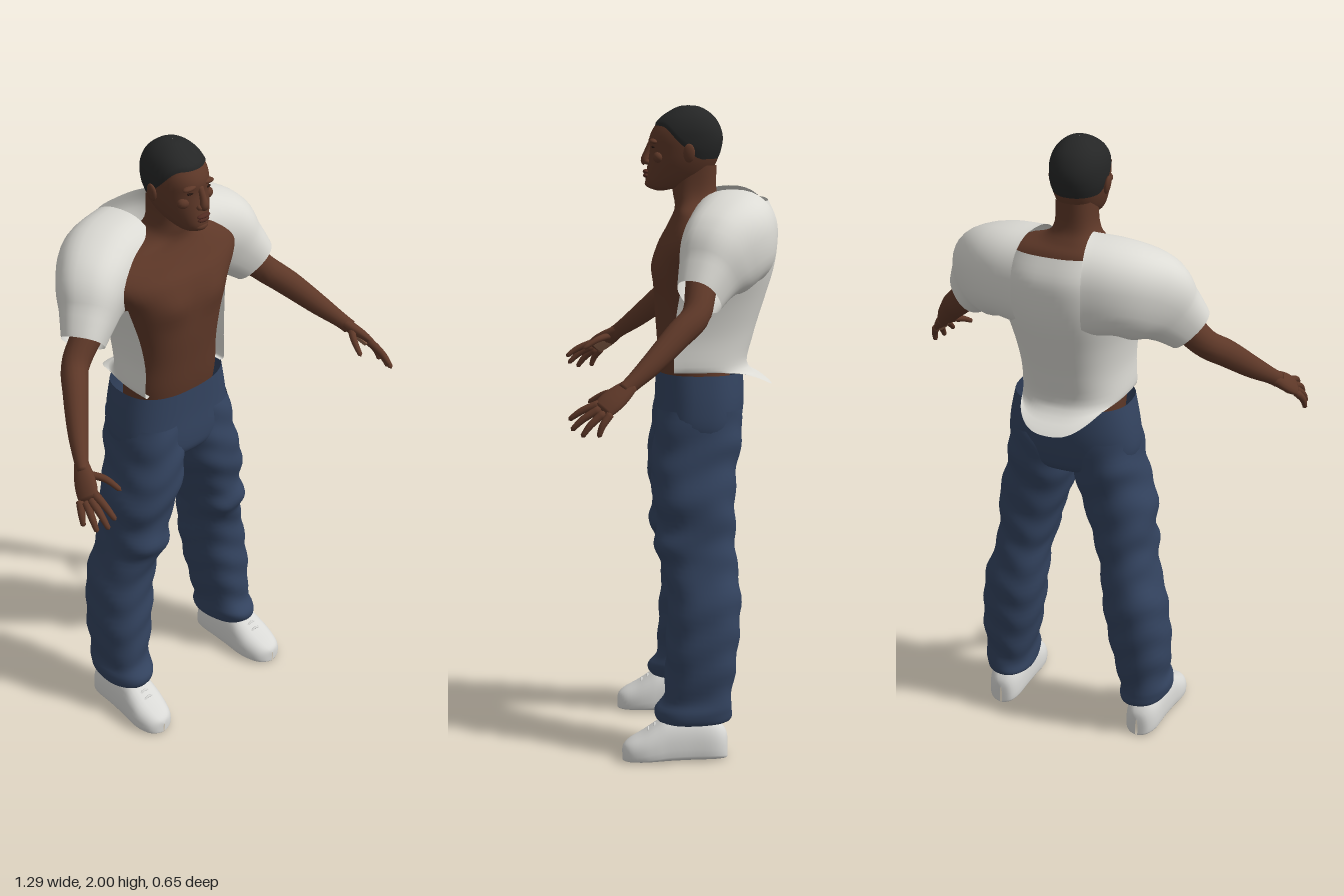
import * as THREE from 'three';

const mat = (name, color, side = THREE.FrontSide) => {
  const m = new THREE.MeshStandardMaterial({ color, side });
  m.name = name;
  return m;
};
const { sin, cos, abs, sign, pow, PI, exp, min, max, floor } = Math;
const spow = (v, p) => sign(v) * pow(abs(v), p);

// Smooth interpolation through rows of numbers, t from 0 to 1
function at(rows, t) {
  const s = t * (rows.length - 1), i = min(floor(s), rows.length - 2), f = s - i;
  const r = k => rows[max(0, min(rows.length - 1, k))];
  return rows[0].map((_, c) => {
    const a = r(i - 1)[c], b = r(i)[c], d = r(i + 1)[c], e = r(i + 2)[c];
    return b + 0.5 * f * (d - a + f * (2 * a - 5 * b + 4 * d - e + f * (3 * (b - d) + e - a)));
  });
}

// Surface from fn(u, v) -> [x, y, z]; closed joins u = 1 to u = 0; faces are turned outward
function grid(nu, nv, fn, closed = true) {
  const pos = [], idx = [], w = closed ? nu : nu + 1;
  for (let j = 0; j <= nv; j++) for (let i = 0; i < w; i++) pos.push(...fn(i / nu, j / nv));
  for (let j = 0; j < nv; j++) for (let i = 0; i < nu; i++) {
    const a = j * w + i, b = j * w + (i + 1) % w, c = a + w, d = b + w;
    idx.push(a, b, d, a, d, c);
  }
  const g = new THREE.BufferGeometry();
  g.setAttribute('position', new THREE.Float32BufferAttribute(pos, 3));
  g.setIndex(idx);
  g.computeBoundingBox();
  const o = g.boundingBox.getCenter(new THREE.Vector3());
  const P = k => new THREE.Vector3(...pos.slice(k * 3, k * 3 + 3)).sub(o);
  let vol = 0;
  for (let k = 0; k < idx.length; k += 3) vol += P(idx[k]).dot(P(idx[k + 1]).cross(P(idx[k + 2])));
  if (vol < 0) flip(g);
  g.computeVertexNormals();
  return g;
}
function flip(g) {
  const x = g.index.array;
  for (let k = 0; k < x.length; k += 3) [x[k], x[k + 1]] = [x[k + 1], x[k]];
}

// Point on a horizontal section row [y, left edge, right edge, front z, back z]
function section([y, x0, x1, zf, zb], a, e = 2.3) {
  return [(x0 + x1) / 2 + (x1 - x0) / 2 * spow(sin(a), 2 / e), y,
    (zf + zb) / 2 + (zf - zb) / 2 * spow(cos(a), 2 / e)];
}
const sym = rows => rows.map(([y, w, f, b]) => [y, -w, w, f, b]);

// Tube along rows [x, y, z, radius along 'wide', radius across it]
function sweep(rows, wide, { nu = 16, nv = 16, e = 2, cap = true } = {}) {
  const W = new THREE.Vector3(...wide);
  return grid(nu, nv, (u, v) => {
    const c = at(rows, v), p = at(rows, max(0, v - 0.01)), q = at(rows, min(1, v + 0.01));
    const t = new THREE.Vector3(q[0] - p[0], q[1] - p[1], q[2] - p[2]).normalize();
    const s = W.clone().addScaledVector(t, -W.dot(t)).normalize(), n = t.clone().cross(s);
    const k = cap && (v === 0 || v === 1) ? 0 : 1, a = u * 2 * PI;
    const h = k * c[3] * spow(cos(a), 2 / e), d = k * c[4] * spow(sin(a), 2 / e);
    return [0, 1, 2].map(i => c[i] + s.getComponent(i) * h + n.getComponent(i) * d);
  });
}

export function createModel() {
  const root = new THREE.Group();
  root.name = 'standingMan';
  const skin = mat('skin', 0x5e3828), palmSkin = mat('palm skin', 0x94684f), lip = mat('lips', 0x522c22),
    dark = mat('eyes', 0x25150f), hair = mat('hair', 0x252626),
    shirt = mat('shirt cloth', 0xdcdbd5, THREE.DoubleSide), denim = mat('denim', 0x33435f, THREE.DoubleSide),
    shoe = mat('shoe leather', 0xd9d9d6);
  const add = (name, g, m) => {
    const mesh = new THREE.Mesh(g, m);
    mesh.name = name;
    root.add(mesh);
  };
  const both = (name, g, m) => {
    const r = g.clone().scale(-1, 1, 1);
    flip(r);
    r.computeVertexNormals();
    add(name + 'Left', g, m);
    add(name + 'Right', r, m);
  };
  const ball = (x, y, z, a, b, c, rz = 0) =>
    new THREE.SphereGeometry(1, 16, 10).scale(a, b, c).rotateZ(rz).translate(x, y, z);

  // Bare torso and neck, with soft chest muscles
  const torso = sym([[1.1, 0.15, 0.02, -0.19], [1.2, 0.155, 0.037, -0.18], [1.3, 0.15, 0.045, -0.175],
    [1.4, 0.165, 0.052, -0.185], [1.5, 0.2, 0.052, -0.2], [1.57, 0.25, 0.04, -0.21], [1.62, 0.255, 0.015, -0.2],
    [1.67, 0.18, -0.008, -0.185], [1.7, 0.095, -0.012, -0.16], [1.74, 0.064, -0.005, -0.14], [1.82, 0.06, 0, -0.14]]);
  add('torso', grid(48, 44, (u, v) => {
    const p = section(at(torso, v), u * 2 * PI, 2.4);
    if (cos(u * 2 * PI) > 0) p[2] += 0.012 * exp(-pow((abs(p[0]) - 0.085) / 0.06, 2) - pow((p[1] - 1.5) / 0.05, 2));
    return p;
  }), skin);

  // Head, split at the hairline
  const head = sym([[1.742, 0.012, 0.045, 0.02], [1.75, 0.036, 0.068, -0.02], [1.765, 0.05, 0.078, -0.07],
    [1.79, 0.064, 0.077, -0.115], [1.83, 0.077, 0.071, -0.14], [1.87, 0.083, 0.066, -0.152],
    [1.9, 0.084, 0.067, -0.156], [1.93, 0.081, 0.055, -0.15], [1.96, 0.069, 0.032, -0.134],
    [1.983, 0.048, 0, -0.108], [1.996, 0.024, -0.028, -0.08], [1.998, 0.001, -0.053, -0.055]]);
  const hairline = a => {
    const y = 1.84 + 0.1 * THREE.MathUtils.smoothstep(cos(a), -0.5, 0.85);
    let lo = 0, hi = 1;
    for (let k = 0; k < 20; k++) at(head, (lo + hi) / 2)[0] < y ? lo = (lo + hi) / 2 : hi = (lo + hi) / 2;
    return lo;
  };
  add('face', grid(40, 24, (u, v) => section(at(head, v * hairline(u * 2 * PI)), u * 2 * PI, 2.15)), skin);
  add('hair', grid(40, 18, (u, v) => {
    const a = u * 2 * PI, h = hairline(a), [x, y, z] = section(at(head, h + v * (1 - h)), a, 2.15);
    const k = v === 0 ? 1 : 1.03;
    return [x * k, y + (v === 0 ? 0 : 0.002), -0.05 + (z + 0.05) * k];
  }), hair);

  // Facial features
  add('noseBridge', sweep([[0, 1.893, 0.06, 0.01, 0.008], [0, 1.86, 0.073, 0.01, 0.01],
    [0, 1.835, 0.08, 0.014, 0.013], [0, 1.824, 0.076, 0.012, 0.01]], [1, 0, 0]), skin);
  add('upperLip', ball(0, 1.8, 0.077, 0.025, 0.007, 0.01), lip);
  add('lowerLip', ball(0, 1.788, 0.076, 0.022, 0.008, 0.01), lip);
  add('chin', ball(0, 1.764, 0.064, 0.026, 0.014, 0.017), skin);
  both('nostril', ball(0.013, 1.829, 0.073, 0.009, 0.008, 0.01), skin);
  both('brow', ball(0.034, 1.894, 0.054, 0.026, 0.008, 0.014, -0.1), skin);
  both('eye', ball(0.033, 1.876, 0.056, 0.014, 0.004, 0.006), dark);
  both('cheek', ball(0.046, 1.845, 0.04, 0.022, 0.018, 0.018), skin);
  both('ear', ball(0.087, 1.86, -0.05, 0.009, 0.029, 0.018, -0.15), skin);

  // Arms, hands and fingers
  both('arm', sweep([[0.22, 1.58, -0.09, 0.06, 0.055], [0.33, 1.475, -0.07, 0.05, 0.047],
    [0.4, 1.405, -0.05, 0.044, 0.042], [0.45, 1.355, 0.005, 0.042, 0.038], [0.51, 1.285, 0.08, 0.034, 0.031],
    [0.553, 1.235, 0.14, 0.025, 0.022], [0.572, 1.21, 0.17, 0.025, 0.018]], [0, 1, 0], { nv: 26 }), skin);
  const across = [-0.5, 0.55, 0.6];
  both('hand', sweep([[0.555, 1.233, 0.14, 0.02, 0.018], [0.575, 1.207, 0.175, 0.032, 0.019],
    [0.592, 1.185, 0.205, 0.036, 0.017], [0.606, 1.165, 0.23, 0.032, 0.012]], across), skin);
  both('palm', sweep([[0.568, 1.2, 0.173, 0.016, 0.006], [0.58, 1.182, 0.195, 0.026, 0.008],
    [0.592, 1.162, 0.222, 0.024, 0.006]], across), palmSkin);
  const fingers = [
    ['indexFinger', [0.588, 1.185, 0.23], [0.59, 1.163, 0.285], [0.588, 1.135, 0.325]],
    ['middleFinger', [0.6, 1.172, 0.23], [0.607, 1.142, 0.282], [0.608, 1.108, 0.318]],
    ['ringFinger', [0.61, 1.163, 0.22], [0.623, 1.127, 0.262], [0.627, 1.092, 0.288]],
    ['littleFinger', [0.616, 1.16, 0.203], [0.633, 1.127, 0.228], [0.638, 1.093, 0.24]],
    ['thumb', [0.567, 1.21, 0.175], [0.533, 1.2, 0.22], [0.514, 1.172, 0.268]]];
  for (const [name, a, b, c] of fingers)
    both(name, sweep([[...a, 0.013, 0.012], [...b, 0.0105, 0.0105], [...c, 0.007, 0.007]], [1, 0, 0.1],
      { nu: 10, nv: 10 }), skin);

  // Open shirt: back shell with a flared hem, then shoulders with sleeves
  const shell = [[1.2, 0.15, 0, -0.315], [1.205, 0.168, 0, -0.238], [1.3, 0.166, 0, -0.255], [1.4, 0.178, -0.01, -0.285],
    [1.5, 0.2, -0.03, -0.315], [1.58, 0.21, -0.06, -0.327], [1.65, 0.2, -0.09, -0.325], [1.715, 0.17, -0.13, -0.298]];
  add('shirtBack', grid(40, 30, (u, v) => {
    const [y, w, zf, zb] = at(shell, v), a = u * PI;
    const drop = 0.06 * pow(max(0, 1 - v * 7), 1) * pow(sin(a), 3);
    return [w * spow(cos(a), 0.75), y - drop, zf - (zf - zb) * pow(abs(sin(a)), 0.75)];
  }, false), shirt);
  both('sleeve', sweep([[0.085, 1.6, -0.185, 0.15, 0.135], [0.18, 1.598, -0.167, 0.14, 0.132],
    [0.26, 1.56, -0.125, 0.136, 0.11], [0.31, 1.51, -0.092, 0.102, 0.084], [0.355, 1.455, -0.064, 0.078, 0.064]],
    [0, 1, 0], { nu: 36, nv: 20, e: 2.4, cap: false }), shirt);

  // Jeans: hips with an open waist, and loose legs with knee folds
  const hips = sym([[1.19, 0.185, 0.047, -0.222], [1.1, 0.203, 0.05, -0.226], [1.02, 0.208, 0.055, -0.216],
    [0.97, 0.18, 0.05, -0.2], [0.945, 0.1, 0.02, -0.16], [0.94, 0.005, -0.06, -0.08]]);
  add('jeansHips', grid(44, 20, (u, v) => section(at(hips, v), u * 2 * PI, 2.5)), denim);
  const leg = [[1.08, 0.005, 0.2, 0.045, -0.21], [1, 0.002, 0.212, 0.058, -0.215], [0.94, 0.004, 0.22, 0.064, -0.205],
    [0.88, 0.014, 0.235, 0.07, -0.195], [0.8, 0.038, 0.256, 0.062, -0.19], [0.72, 0.065, 0.253, 0.05, -0.19],
    [0.66, 0.078, 0.262, 0.066, -0.19], [0.6, 0.096, 0.268, 0.035, -0.195], [0.5, 0.106, 0.3, 0.02, -0.205],
    [0.4, 0.118, 0.312, 0.025, -0.2], [0.3, 0.135, 0.318, 0.03, -0.19], [0.2, 0.156, 0.311, 0.035, -0.176],
    [0.155, 0.16, 0.317, 0.062, -0.173], [0.12, 0.165, 0.31, 0.048, -0.17], [0.125, 0.2, 0.28, 0, -0.12]];
  both('jeansLeg', grid(36, 64, (u, v) => {
    const a = u * 2 * PI, p = section(at(leg, v), a, 2.3), fold = 0.003 * sin(p[1] * 55 + 2 * sin(a * 2));
    return [p[0] + fold * sin(a), p[1], p[2] + fold * cos(a)];
  }), denim);

  // Shoes, as upright sections from heel to toe: [z, centre x, half width, height]
  const last = [[-0.163, 0.242, 0.004, 0.06], [-0.155, 0.243, 0.034, 0.09], [-0.12, 0.245, 0.052, 0.125],
    [-0.05, 0.246, 0.057, 0.14], [0.02, 0.248, 0.063, 0.138], [0.06, 0.25, 0.067, 0.115], [0.1, 0.253, 0.065, 0.088],
    [0.14, 0.255, 0.052, 0.066], [0.16, 0.256, 0.03, 0.05], [0.166, 0.256, 0.003, 0.035]];
  both('shoe', grid(28, 32, (u, v) => {
    const [z, x, w, h] = at(last, v), a = u * 2 * PI, s = sin(a);
    return [x + w * spow(cos(a), 0.7), h * (s > 0 ? 0.3 + 0.7 * pow(s, 0.9) : 0.3 - 0.3 * pow(-s, 0.45)), z];
  }), shoe);
  for (const [z, y] of [[0.065, 0.112], [0.085, 0.099]])
    both('shoeLace', sweep([[0.225, y - 0.012, z, 0.004, 0.004], [0.251, y, z, 0.004, 0.004],
      [0.277, y - 0.012, z, 0.004, 0.004]], [0, 1, 0], { nu: 8, nv: 8 }), shoe);
  return root;
}
